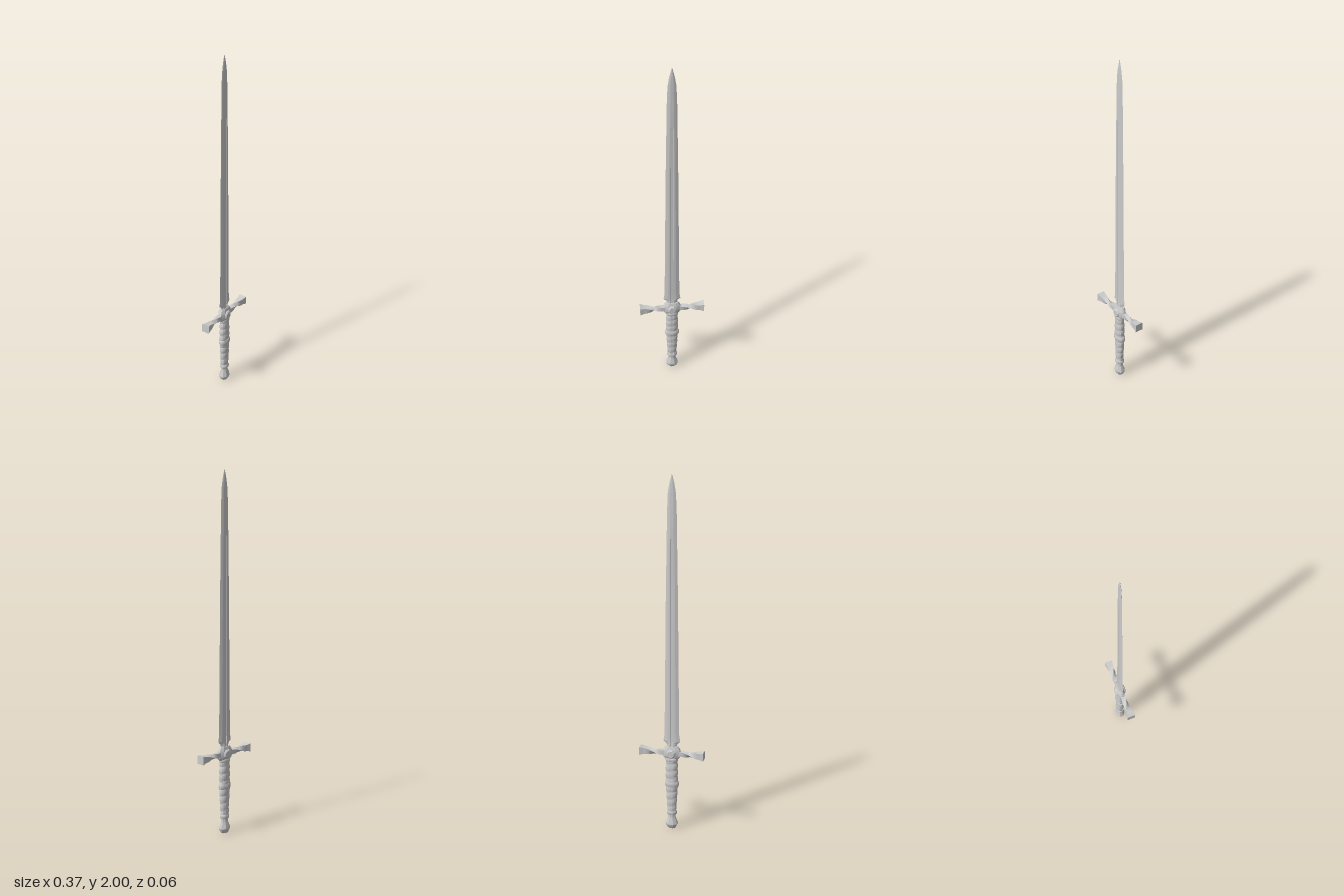
import * as THREE from 'three';
import { mergeVertices, toCreasedNormals } from 'three/addons/utils/BufferGeometryUtils.js';

const material = new THREE.MeshStandardMaterial({ color: 0xcccccc });

// Skin stacked rings of [x, z] points, each at its own height; both ends are capped.
function loft(sections, crease = 0.6) {
  const n = sections[0].ring.length, pos = [], index = [];
  for (const { y, ring } of sections) for (const [x, z] of ring) pos.push(x, y, z);
  for (let s = 0; s < sections.length - 1; s++) {
    for (let i = 0; i < n; i++) {
      const a = s * n + i, b = s * n + (i + 1) % n;
      index.push(a, b, b + n, a, b + n, a + n);
    }
  }
  const last = (sections.length - 1) * n;
  [0, last].forEach((base, top) => {
    const { y, ring } = sections[top ? sections.length - 1 : 0];
    const c = pos.length / 3;
    pos.push(ring.reduce((t, p) => t + p[0], 0) / n, y, ring.reduce((t, p) => t + p[1], 0) / n);
    for (let i = 0; i < n; i++) {
      const a = base + i, b = base + (i + 1) % n;
      if (top) index.push(a, b, c); else index.push(b, a, c);
    }
  });
  const g = new THREE.BufferGeometry();
  g.setAttribute('position', new THREE.Float32BufferAttribute(pos, 3));
  g.setIndex(index);
  return toCreasedNormals(mergeVertices(g, 1e-6), crease);
}

// Elliptical or polygonal ring, anticlockwise seen from above.
function ellipse(rx, rz, n, turn = 0) {
  return Array.from({ length: n }, (_, i) => {
    const a = turn + i / n * Math.PI * 2;
    return [rx * Math.cos(a), -rz * Math.sin(a)];
  });
}

// Read a value from a list of [position, value] steps.
function sample(steps, t) {
  for (let i = 1; i < steps.length; i++) {
    const [t0, v0] = steps[i - 1], [t1, v1] = steps[i];
    if (t <= t1) return v0 + (v1 - v0) * Math.max(0, (t - t0) / (t1 - t0));
  }
  return steps[steps.length - 1][1];
}

function add(parent, name, geometry) {
  const mesh = new THREE.Mesh(geometry, material);
  mesh.name = name;
  parent.add(mesh);
  return mesh;
}

// Blade: sharp edges, flat bevels and a central fuller; [y, half width, half thickness, fuller depth]
function bladeGeometry() {
  const rows = [
    [0.47, 0.028, 0.013, 0.003], [0.505, 0.028, 0.012, 0.003], [0.518, 0.032, 0.010, 0.003],
    [0.53, 0.048, 0.009, 0.003], [0.545, 0.046, 0.0085, 0.003], [0.57, 0.042, 0.008, 0.003],
    [1.0, 0.037, 0.0075, 0.003], [1.3, 0.034, 0.007, 0.003], [1.645, 0.0285, 0.0065, 0.0025],
    [1.665, 0.028, 0.0065, 0], [1.8, 0.026, 0.006, 0], [1.9, 0.022, 0.005, 0],
    [1.95, 0.014, 0.004, 0], [1.985, 0.005, 0.002, 0], [2.0, 0.0004, 0.0004, 0],
  ];
  return loft(rows.map(([y, w, t, d]) => {
    const f = Math.min(0.009, w * 0.33), m = w * 0.55;
    const back = [[w, 0], [m, -t * 0.8], [f, -t], [f * 0.75, -t + d], [0, -t + d],
      [-f * 0.75, -t + d], [-f, -t], [-m, -t * 0.8]];
    return { y, ring: [...back, ...back.map(([x, z]) => [-x, -z])] };
  }), 0.2);
}

// Grip: oval core with a spiral of rounded ridges
function gripGeometry() {
  const width = [[0.09, 0.025], [0.2, 0.032], [0.27, 0.035], [0.35, 0.036], [0.44, 0.032]];
  const sections = [];
  for (let i = 0; i <= 130; i++) {
    const y = 0.09 + 0.35 * i / 130, w = sample(width, y);
    sections.push({ y, ring: ellipse(1, 1, 32).map(([c, s]) => {
      const phase = y / 0.043 - Math.atan2(-s, c) / (Math.PI * 2);
      const k = 0.86 + 0.14 * Math.sqrt(Math.abs(Math.sin(Math.PI * phase)));
      return [c * w * k, s * (w * 0.35 + 0.011) * k];
    }) });
  }
  return loft(sections, 0.8);
}

// Guard arm: square bar with a quarter twist, flaring to a square end
function armGeometry() {
  const size = [[0.035, 0.013], [0.06, 0.013], [0.12, 0.015], [0.16, 0.018], [0.183, 0.0235]];
  const sections = [];
  for (let i = 0; i <= 24; i++) {
    const x = 0.035 + 0.148 * i / 24, r = sample(size, x);
    const twist = Math.PI / 2 * THREE.MathUtils.smoothstep(x, 0.05, 0.155);
    const a = Math.PI / 4 + twist;
    const k = 1 + 0.41 * Math.abs(Math.cos(twist * 2));
    sections.push({ y: x, ring: ellipse(r * k, r * k, 4, a) });
  }
  return loft(sections, 0.5).rotateZ(-Math.PI / 2);
}

export function createModel() {
  const sword = new THREE.Group();
  sword.name = 'sword';
  add(sword, 'blade', bladeGeometry());

  // Crossguard
  const guard = new THREE.Group();
  guard.name = 'crossguard';
  sword.add(guard);
  const block = [[0.05, 0], [0.048, -0.01], [0.025, -0.021], [-0.025, -0.021], [-0.048, -0.01]];
  const blockRing = [...block, ...block.slice(0, 5).map(([x, z]) => [-x, -z])];
  add(guard, 'guardBlock', loft([[0.425, 0.72], [0.438, 0.95], [0.445, 1], [0.475, 1], [0.484, 0.92], [0.502, 0.68]]
    .map(([y, s]) => ({ y, ring: blockRing.map(([x, z]) => [x * s, z * s]) })), 0.3));
  for (const side of [1, -1]) {
    const arm = add(guard, side > 0 ? 'leftArm' : 'rightArm', armGeometry());
    arm.position.y = 0.46;
    arm.rotation.y = side > 0 ? 0 : Math.PI;
    // Raised face plate
    const plate = add(guard, side > 0 ? 'frontPlate' : 'backPlate', loft([
      { y: 0.015, ring: ellipse(0.029, 0.029, 8, Math.PI / 8) },
      { y: 0.025, ring: ellipse(0.026, 0.026, 8, Math.PI / 8) },
      { y: 0.03, ring: ellipse(0.02, 0.02, 8, Math.PI / 8) },
    ], 0.2));
    plate.rotation.x = side * Math.PI / 2;
    plate.position.y = 0.46;
  }

  // Grip with its bands
  add(sword, 'grip', gripGeometry());
  const band = (name, y, h, rx, rz) => add(sword, name, loft(
    [[-1, 0.92], [-0.6, 1], [0.6, 1], [1, 0.92]].map(([t, s]) =>
      ({ y: y + t * h / 2, ring: ellipse(rx * s, rz * s, 24) })), 0.5));
  band('middleBand', 0.275, 0.03, 0.041, 0.0255);
  band('upperBand', 0.422, 0.02, 0.036, 0.0235);
  band('lowerBand', 0.098, 0.022, 0.029, 0.0235);

  // Pommel: faceted, flaring towards the foot
  const pommel = [[0, 0.019], [0.008, 0.027], [0.026, 0.036], [0.034, 0.035], [0.06, 0.024], [0.076, 0.021], [0.092, 0.023]];
  add(sword, 'pommel', loft(pommel.map(([y, r]) =>
    ({ y, ring: ellipse(r, r * 0.78, 8, Math.PI / 8) })), 0.3));
  return sword;
}
